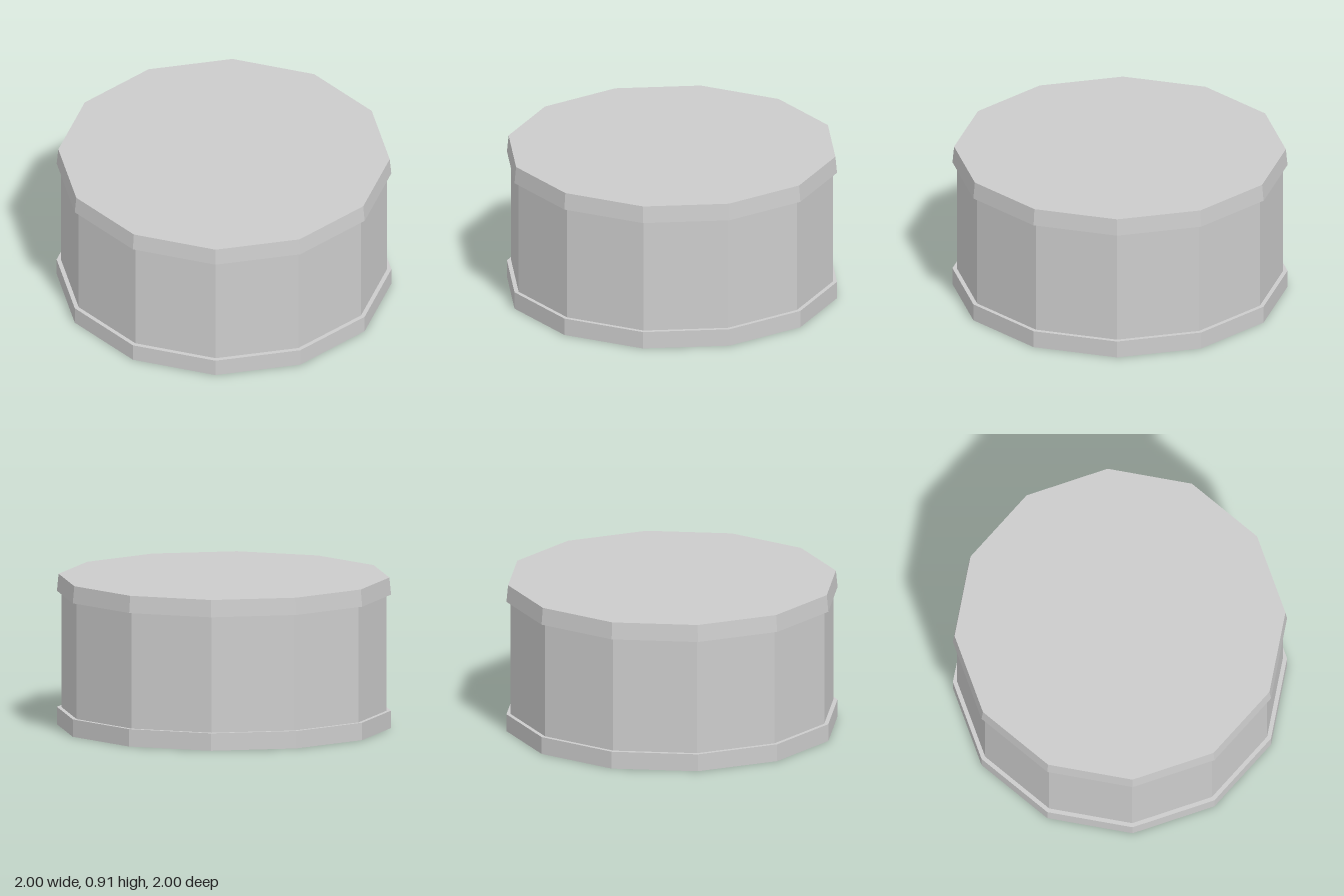
import * as THREE from 'three';

const SIDES = 12;

export function createModel() {
  const group = new THREE.Group();
  group.name = 'drum';

  const grey = new THREE.MeshStandardMaterial({ color: 0xcccccc, flatShading: true });
  grey.name = 'light grey';

  // Twelve-sided section standing between two heights
  function section(name, topRadius, bottomRadius, y0, y1, open = false) {
    const geometry = new THREE.CylinderGeometry(topRadius, bottomRadius, y1 - y0, SIDES, 1, open);
    const mesh = new THREE.Mesh(geometry, grey);
    mesh.name = name;
    mesh.position.y = (y0 + y1) / 2;
    group.add(mesh);
  }

  section('bottomRim', 1, 1, 0, 0.105);
  section('body', 0.974, 0.974, 0.105, 0.805, true);
  // The lid narrows slightly towards its top
  section('lid', 0.99, 1, 0.805, 0.908);

  return group;
}
